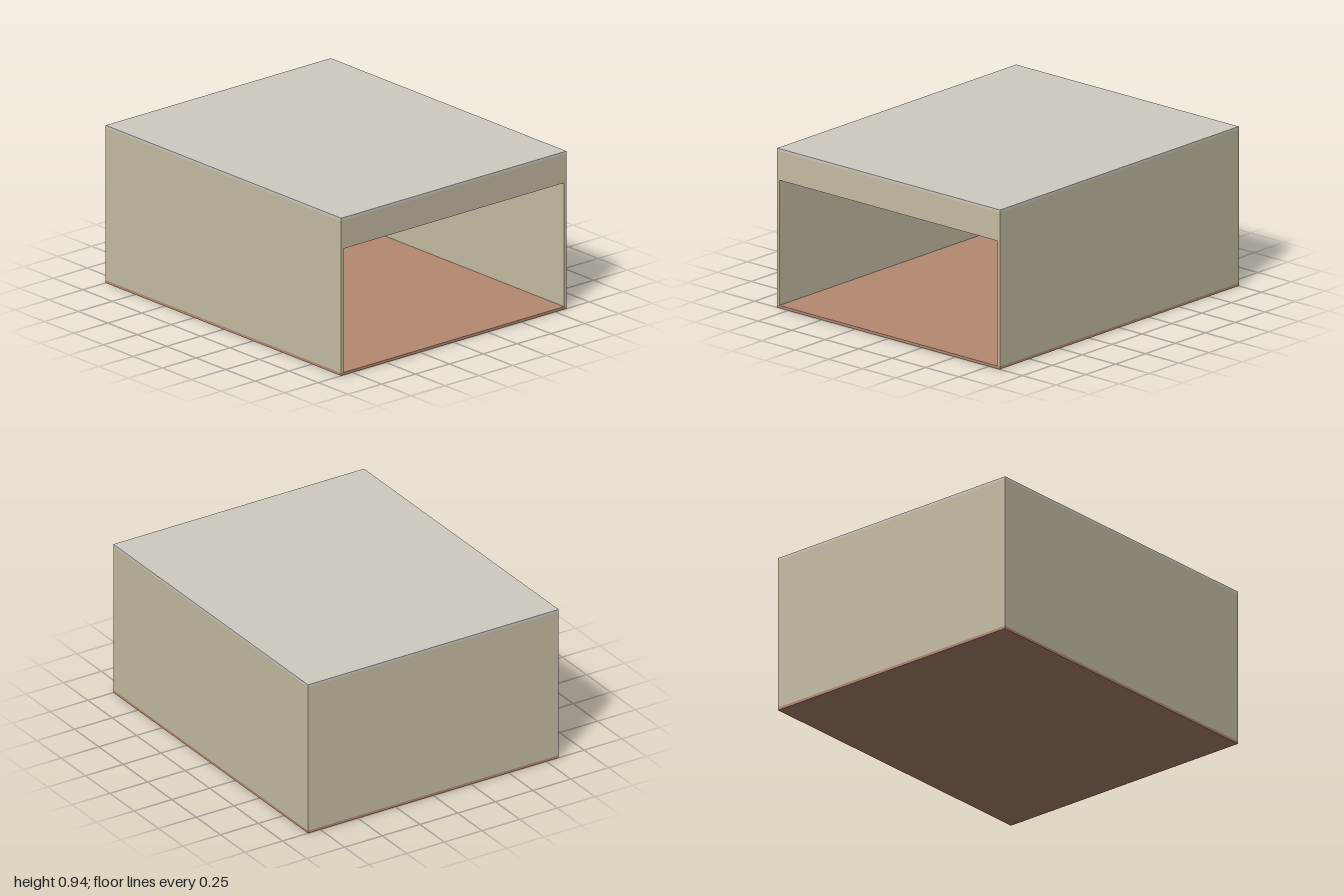
import * as THREE from 'three';

export function createModel() {
  const group = new THREE.Group();
  const W = 1.662, D = 2, H = 0.935; // overall size
  const T = 0.016;                   // panel thickness
  const openingTop = 0.75;

  const wallMat = new THREE.MeshStandardMaterial({ color: 0xc8bfa5 });
  const roofMat = new THREE.MeshStandardMaterial({ color: 0xcfcbc0 });
  const floorMat = new THREE.MeshStandardMaterial({ color: 0xb58a72 });

  // Panel spanning y0..y1, centred on x and z
  function panel(name, mat, w, y0, y1, d, x = 0, z = 0) {
    const mesh = new THREE.Mesh(new THREE.BoxGeometry(w, y1 - y0, d), mat);
    mesh.position.set(x, (y0 + y1) / 2, z);
    mesh.name = name;
    group.add(mesh);
  }

  // Floor and roof slabs
  panel('floor', floorMat, W, 0, T, D);
  panel('roof', roofMat, W, H - T, H, D);

  // Side walls run the full depth
  for (const [name, s] of [['leftWall', 1], ['rightWall', -1]]) {
    panel(name, wallMat, T, T, H - T, D, s * (W - T) / 2);
  }

  // Back wall, and the header above the front opening
  panel('backWall', wallMat, W - 2 * T, T, H - T, T, 0, -(D - T) / 2);
  panel('frontHeader', wallMat, W - 2 * T, openingTop, H - T, T, 0, (D - T) / 2);

  return group;
}
